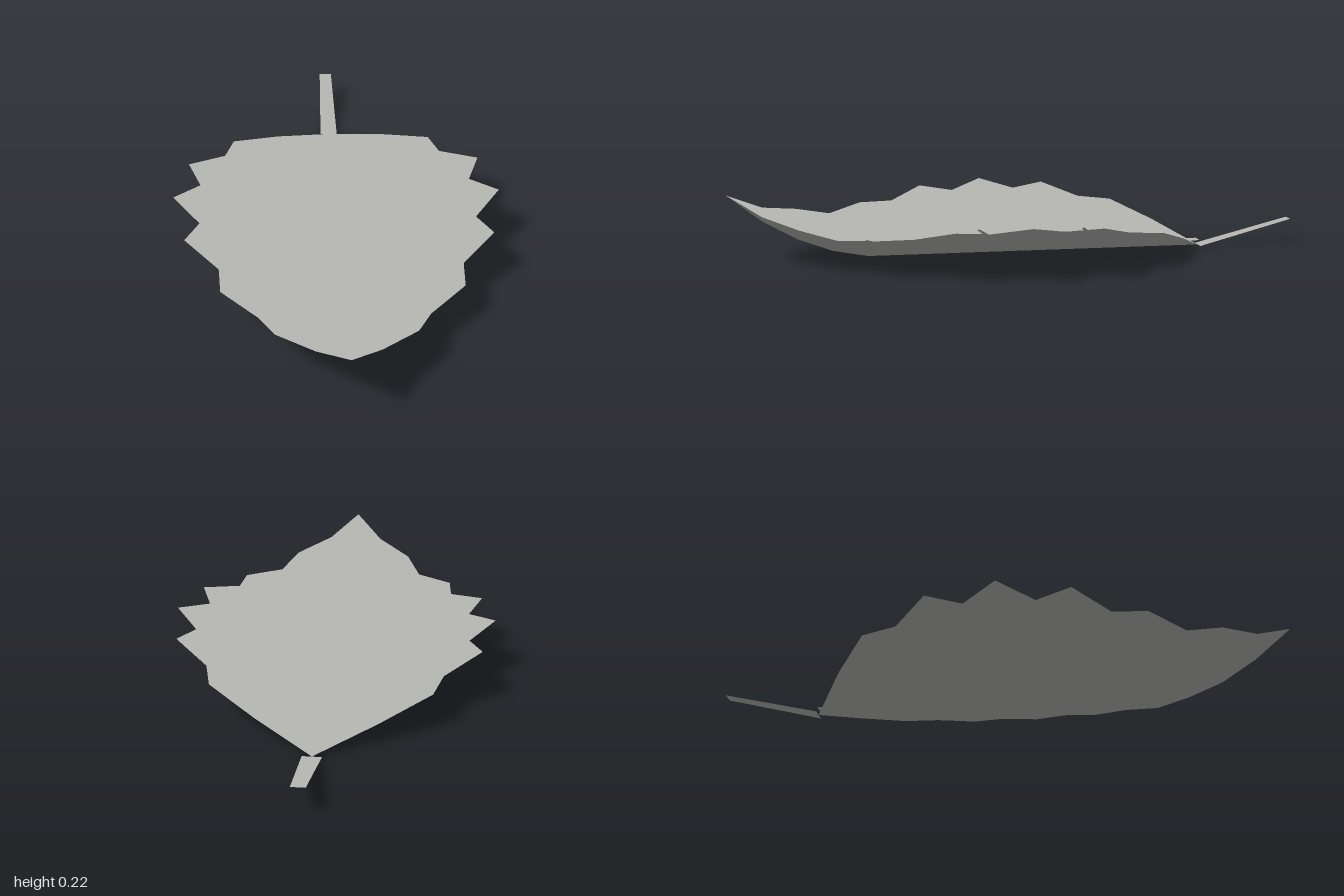
import * as THREE from 'three';

const leafGrey = new THREE.MeshStandardMaterial({ color: 0xb6b6b3, side: THREE.DoubleSide });
leafGrey.name = 'leafGrey';

// Open sheet through a list of cross-sections, each a row of [x, y, z] points.
// All normals point up, so the folded sheet shades evenly.
function sheet(name, rows) {
  const n = rows[0].length;
  const positions = rows.flat(2);
  const index = [];
  for (let i = 0; i < rows.length - 1; i++) {
    for (let j = 0; j < n - 1; j++) {
      const a = i * n + j, b = a + n;
      index.push(a, b, a + 1, a + 1, b, b + 1);
    }
  }
  const geometry = new THREE.BufferGeometry();
  geometry.setAttribute('position', new THREE.Float32BufferAttribute(positions, 3));
  const normals = positions.map((_, k) => (k % 3 === 1 ? 1 : 0));
  geometry.setAttribute('normal', new THREE.Float32BufferAttribute(normals, 3));
  geometry.setIndex(index);
  const mesh = new THREE.Mesh(geometry, leafGrey);
  mesh.name = name;
  return mesh;
}

// Half widths of the toothed blade, evenly spaced from base to tip
const halfWidths = [0, 0.2, 0.365, 0.395, 0.52, 0.475, 0.563, 0.47, 0.515, 0.4, 0.392, 0.27, 0.22, 0.1, 0];
const baseZ = -0.66;
const step = (1 - baseZ) / (halfWidths.length - 1);
const FOLD = 0.32;

// Upward curl of the centre line near the tip
const curls = [0, 0.022, 0.066, 0.132, 0.225];
function curl(z) {
  const t = Math.max(0, (z - baseZ) / step - 10);
  const i = Math.min(3, Math.floor(t));
  return THREE.MathUtils.lerp(curls[i], curls[i + 1], t - i);
}

export function createModel() {
  const leaf = new THREE.Group();
  leaf.name = 'leaf';

  // Blade, folded along the middle
  leaf.add(sheet('blade', halfWidths.map((w, i) => {
    const z = baseZ + i * step, y = curl(z);
    return [[-w, y + FOLD * w, z], [0, y, z], [w, y + FOLD * w, z]];
  })));

  // Midrib, a flat ribbon just above the fold
  const ribZ = [baseZ, 0.05, 0.41, 0.526, 0.644, 0.763, 0.881];
  leaf.add(sheet('midrib', ribZ.map((z) => {
    const w = THREE.MathUtils.mapLinear(z, baseZ, 0.881, 0.024, 0.009);
    const y = curl(z) + 0.02;
    return [[-w, y, z], [w, y, z]];
  })));

  // Stem, a flat strip rising to the back
  leaf.add(sheet('stem', [[-1, 0.023, 0.087], [baseZ, 0.032, 0]].map(
    ([z, w, y]) => [[-w, y, z], [w, y, z]])));

  // Side veins: each pair runs tip to tip across the midrib
  const veins = [
    { x: 0.287, z0: -0.29, z1: -0.17, y: 0.128 },
    { x: 0.31, z0: 0.05, z1: 0.187, y: 0.137 },
    { x: 0.165, z0: 0.405, z1: 0.545, y: 0.087 },
  ];
  veins.forEach(({ x, z0, z1, y }, i) => {
    const row = (px, py, z, h) => [[px, py, z + h], [px, py, z - h]];
    leaf.add(sheet(`veinPair${i + 1}`, [
      row(-x, y, z1, 0.006), row(0, 0.02, z0, 0.014), row(x, y, z1, 0.006),
    ]));
  });

  return leaf;
}
